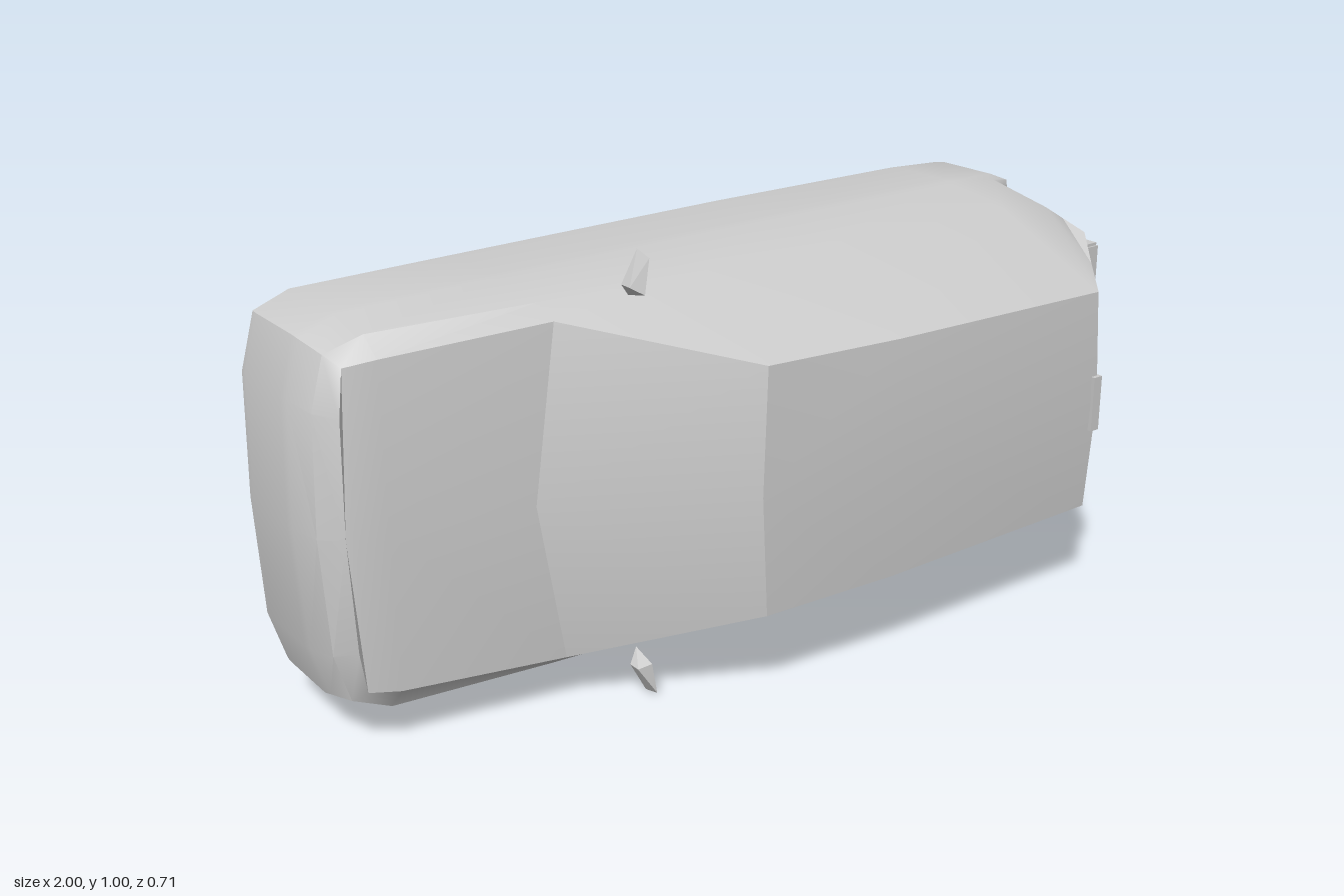
import * as THREE from 'three';
import { toCreasedNormals } from 'three/addons/utils/BufferGeometryUtils.js';
import { ConvexGeometry } from 'three/addons/geometries/ConvexGeometry.js';

// Car body lying on its side: nose at -x, roof towards +z, width along y.
const MID = 0.51;
const mat = new THREE.MeshStandardMaterial({ color: 0xcccccc, side: THREE.DoubleSide });

// Half outlines [x, halfWidth, z] from nose centre round the side to rear centre, sill to roof edge
const flat = (z, pts) => pts.map(([x, w]) => [x, w, z]);
const SILL = flat(-0.34, [[-0.995, 0], [-0.985, 0.27], [-0.95, 0.39], [-0.87, 0.42], [-0.5, 0.424], [-0.15, 0.427],
  [0.2, 0.43], [0.75, 0.428], [0.9, 0.42], [0.945, 0.4], [0.967, 0.26], [0.97, 0]]);
const RINGS = [
  SILL,
  flat(-0.32, [[-0.997, 0], [-0.987, 0.27], [-0.952, 0.39], [-0.87, 0.422], [-0.5, 0.426], [-0.15, 0.429],
    [0.2, 0.432], [0.75, 0.432], [0.91, 0.422], [0.968, 0.4], [0.988, 0.26], [1, 0]]),
  flat(-0.155, [[-1, 0], [-0.988, 0.27], [-0.953, 0.39], [-0.87, 0.42], [-0.5, 0.428], [-0.15, 0.431],
    [0.2, 0.433], [0.75, 0.434], [0.91, 0.424], [0.968, 0.4], [0.988, 0.26], [1, 0]]),
  flat(-0.135, [[-0.998, 0], [-0.985, 0.27], [-0.95, 0.386], [-0.87, 0.418], [-0.5, 0.426], [-0.15, 0.43],
    [0.2, 0.432], [0.75, 0.432], [0.9, 0.415], [0.95, 0.38], [0.965, 0.26], [0.972, 0]]),
  [[-0.982, 0, -0.06], [-0.97, 0.26, -0.06], [-0.938, 0.372, -0.06], [-0.86, 0.402, -0.04], [-0.5, 0.405, 0],
    [-0.15, 0.406, 0.03], [0.2, 0.41, 0.04], [0.75, 0.405, 0.05], [0.885, 0.388, 0.06], [0.935, 0.355, 0.07],
    [0.952, 0.25, 0.08], [0.96, 0, 0.08]],
  [[-0.94, 0, -0.02], [-0.932, 0.25, -0.02], [-0.915, 0.348, -0.03], [-0.85, 0.357, -0.01], [-0.49, 0.375, 0.045],
    [-0.15, 0.28, 0.3], [0.18, 0.275, 0.325], [0.78, 0.265, 0.333], [0.85, 0.298, 0.245], [0.925, 0.34, 0.15],
    [0.937, 0.25, 0.152], [0.942, 0, 0.153]],
];

// Roof edge and centre line of the top panels
const EDGE = RINGS[RINGS.length - 1];
const CENTRE = [EDGE[0], EDGE[0], [-0.925, 0, -0.012], [-0.86, 0, 0.008], [-0.56, 0, 0.065], [-0.17, 0, 0.31],
  [0.17, 0, 0.345], [0.785, 0, 0.348], [0.858, 0, 0.25], EDGE[11], EDGE[11], EDGE[11]];

// Lofts half rows into a surface mirrored about the middle plane
function mirroredLoft(rows) {
  const pos = [];
  const tri = (s, ...pts) => (s > 0 ? pts : pts.reverse()).forEach(([x, w, z]) => pos.push(x, MID + s * w, z));
  for (const s of [1, -1]) {
    for (let r = 0; r < rows.length - 1; r++) {
      for (let i = 0; i < rows[r].length - 1; i++) {
        const a = rows[r][i], b = rows[r][i + 1], c = rows[r + 1][i], d = rows[r + 1][i + 1];
        tri(s, a, c, b);
        tri(s, b, c, d);
      }
    }
  }
  const g = new THREE.BufferGeometry();
  g.setAttribute('position', new THREE.Float32BufferAttribute(pos, 3));
  return toCreasedNormals(g, 0.6);
}

// Block with a mirrored plan outline [x, halfWidth], from the underside up to the well ceiling
function underBlock(half) {
  const pts = [...half.map(([x, w]) => [x, w]), ...half.map(([x, w]) => [x, -w]).reverse()];
  const shape = new THREE.Shape(pts.map(([x, w]) => new THREE.Vector2(x * 0.998, MID + w * 0.995)));
  return new THREE.ExtrudeGeometry(shape, { depth: 0.2, bevelEnabled: false }).translate(0, 0, -0.34);
}

const box = (x0, x1, y0, y1, z0, z1) =>
  new THREE.BoxGeometry(x1 - x0, y1 - y0, z1 - z0).translate((x0 + x1) / 2, (y0 + y1) / 2, (z0 + z1) / 2);

export function createModel() {
  const car = new THREE.Group();
  car.name = 'carBody';
  const add = (name, geometry) => {
    const mesh = new THREE.Mesh(geometry, mat);
    mesh.name = name;
    car.add(mesh);
    return mesh;
  };

  // Side shell with nose, tail and bumpers
  add('bodyShell', mirroredLoft(RINGS));

  // Top panels from nose to tail
  for (const [name, from, to] of [['hood', 0, 4], ['windscreen', 4, 5], ['roof', 5, 7], ['rearWindow', 7, 11]]) {
    add(name, mirroredLoft([EDGE.slice(from, to + 1), CENTRE.slice(from, to + 1)]));
  }

  // Underside: floor between the wells, and the solid nose and tail ends
  add('floor', underBlock([[-0.53, 0.425], [0.52, 0.43]]));
  add('noseUnderside', underBlock(SILL.slice(0, 3)));
  add('tailUnderside', underBlock(SILL.slice(9)));

  // Open wheel wells: ceiling and two inner partitions each
  for (const [name, x0, x1] of [['front', -0.95, -0.53], ['rear', 0.52, 0.945]]) {
    add(name + 'WellCeiling', box(x0, x1, MID - 0.385, MID + 0.385, -0.14, -0.135));
    for (const s of [1, -1]) {
      const y = MID + s * 0.275;
      add(name + 'WellPartition', box(x0, x1, y - 0.002, y + 0.002, -0.34, -0.14));
    }
  }

  // Door mirrors: thin wedges standing off the sides
  const mirrorPoints = [[-0.32, 0.4, 0.057], [-0.322, 0.415, 0.12], [-0.345, 0.43, 0.1], [-0.345, 0.43, 0.07],
    [-0.31, 0.49, 0.12], [-0.31, 0.5, 0.077]];
  for (const s of [1, -1]) {
    add('doorMirror', new ConvexGeometry(mirrorPoints.map(([x, w, z]) => new THREE.Vector3(x, MID + s * w, z))));
  }

  // Lip below the rear window with bent ends
  add('tailLip', box(0.94, 0.972, MID - 0.3, MID + 0.3, 0.136, 0.154));
  for (const s of [1, -1]) {
    const y = MID + s * 0.295;
    add('tailLipEnd', box(0.935, 0.97, y - 0.012, y + 0.012, 0.1, 0.15));
  }

  // Bumper step, brake light and exhaust
  add('bumperStep', box(0.95, 0.99, MID - 0.29, MID + 0.29, -0.155, -0.135));
  add('brakeLight', box(0.765, 0.79, MID - 0.066, MID + 0.066, 0.318, 0.354));
  add('exhaust', box(0.91, 0.972, 0.702, 0.738, -0.354, -0.325));

  return car;
}
